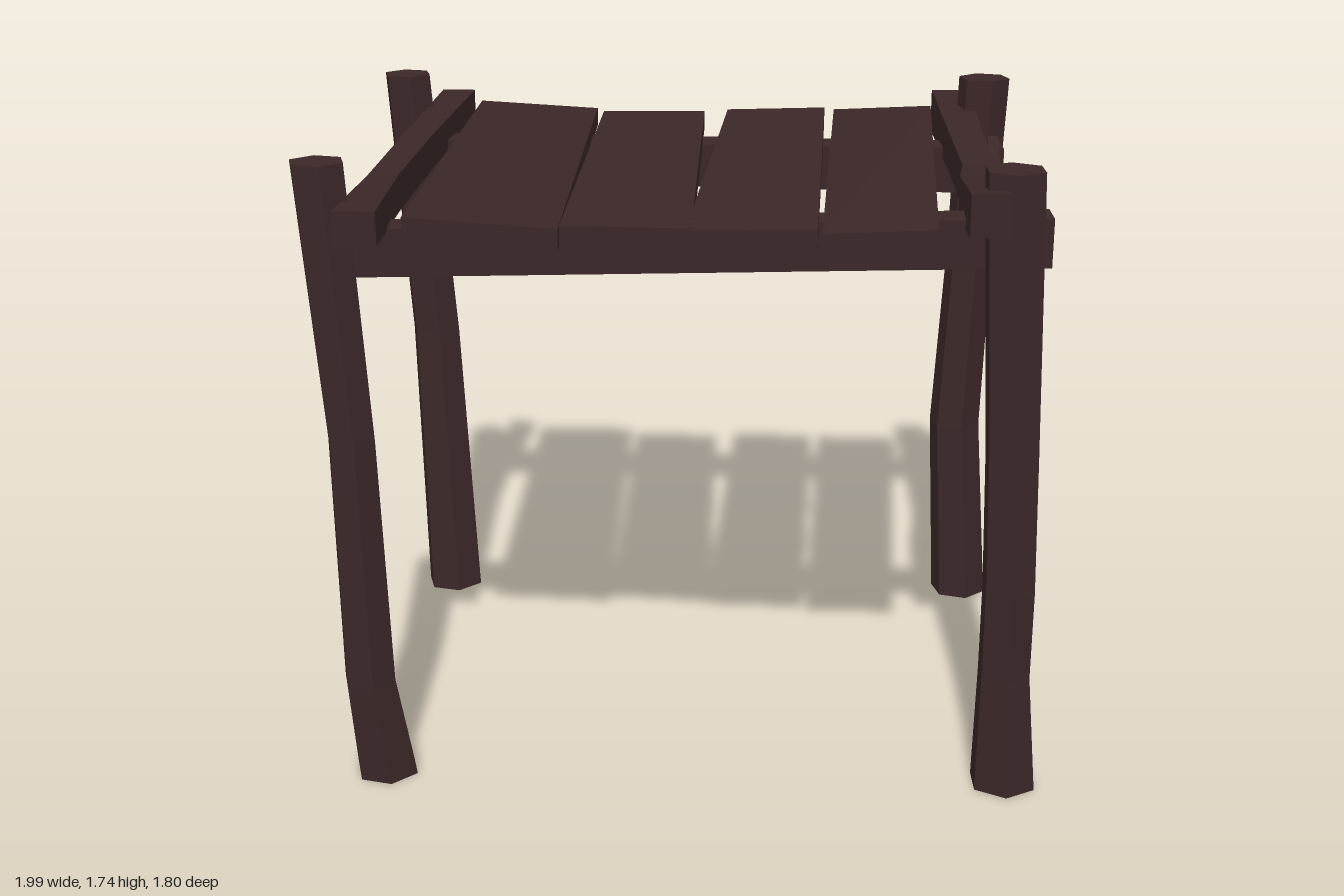
import * as THREE from 'three';

const wood = new THREE.MeshStandardMaterial({ color: 0x3b2728, flatShading: true });
wood.name = 'dark wood';

// Closed solid through a row of equal-sized rings of [x, y, z] corners
function loft(name, rings) {
  const n = rings[0].length, last = rings.length - 1, pos = [];
  const tri = (a, b, c) => pos.push(...a, ...b, ...c);
  for (let r = 0; r < last; r++) {
    for (let i = 0; i < n; i++) {
      const j = (i + 1) % n;
      tri(rings[r][j], rings[r][i], rings[r + 1][i]);
      tri(rings[r][j], rings[r + 1][i], rings[r + 1][j]);
    }
  }
  for (let k = 1; k < n - 1; k++) {
    tri(rings[0][0], rings[0][k], rings[0][k + 1]);
    tri(rings[last][0], rings[last][k + 1], rings[last][k]);
  }
  const geo = new THREE.BufferGeometry();
  geo.setAttribute('position', new THREE.Float32BufferAttribute(pos, 3));
  geo.computeVertexNormals();
  const mesh = new THREE.Mesh(geo, wood);
  mesh.name = name;
  return mesh;
}

// Crooked six-sided post; each point is [x, y, z, radius]
function post(name, turn, points) {
  return loft(name, points.map(([x, y, z, r]) =>
    Array.from({ length: 6 }, (_, i) => {
      const a = turn + i * Math.PI / 3;
      return [x + r * Math.cos(a), y, z + r * Math.sin(a)];
    })));
}

// Rail running front to back; each point is [x, y, z, width, height]
function rail(name, points) {
  return loft(name, points.map(([x, y, z, w, h]) =>
    [[-1, -1], [1, -1], [1, 1], [-1, 1]].map(([a, b]) => [x + a * w / 2, y + b * h / 2, z])));
}

// Beam running along x; each point is [x, y, z, height, depth]
function beam(name, points) {
  return loft(name, points.map(([x, y, z, h, d]) =>
    [[-1, -1], [1, -1], [1, 1], [-1, 1]].map(([a, b]) => [x, y + b * h / 2, z + a * d / 2])));
}

// Roof board; each end is [x0, z0, x1, z1, top y at x0, top y at x1]
function board(name, front, back) {
  const t = 0.055;
  return loft(name, [front, back].map(([x0, z0, x1, z1, y0, y1]) =>
    [[x0, y0 - t, z0], [x1, y1 - t, z1], [x1, y1, z1], [x0, y0, z0]]));
}

export function createModel() {
  const model = new THREE.Group();
  model.name = 'woodenShelter';

  // Posts
  model.add(
    post('frontRightPost', 0.25, [
      [-0.82, 0, 0.70, 0.09], [-0.85, 0.3, 0.73, 0.075], [-0.865, 1.0, 0.73, 0.068], [-0.925, 1.74, 0.69, 0.076]]),
    post('frontLeftPost', 0.5, [
      [0.905, 0, 0.705, 0.095], [0.89, 0.35, 0.73, 0.075], [0.89, 0.6, 0.735, 0.075],
      [0.88, 1.0, 0.73, 0.075], [0.855, 1.735, 0.695, 0.083]]),
    post('backRightPost', 0.25, [
      [-0.825, 0, -0.62, 0.093], [-0.86, 0.9, -0.65, 0.08], [-0.925, 1.74, -0.68, 0.076]]),
    post('backLeftPost', 0.3, [
      [0.90, 0, -0.62, 0.09], [0.865, 0.6, -0.635, 0.082], [0.89, 1.15, -0.65, 0.075], [0.915, 1.74, -0.67, 0.08]]),
  );

  // Cross beams under the boards
  model.add(
    beam('frontBeam', [[-0.93, 1.48, 0.575, 0.13, 0.11], [0.965, 1.535, 0.61, 0.13, 0.11]]),
    beam('backBeam', [[-0.93, 1.50, -0.545, 0.13, 0.125], [0.965, 1.48, -0.535, 0.14, 0.13]]),
  );

  // Bent side rails
  model.add(
    rail('rightRail', [
      [-0.80, 1.605, 0.865, 0.11, 0.09], [-0.83, 1.57, 0.3, 0.085, 0.1],
      [-0.83, 1.57, -0.3, 0.09, 0.1], [-0.795, 1.60, -0.9, 0.105, 0.1]]),
    rail('leftRail', [
      [0.78, 1.65, 0.855, 0.1, 0.11], [0.805, 1.575, 0.3, 0.1, 0.11], [0.83, 1.565, 0.1, 0.1, 0.11],
      [0.83, 1.57, -0.25, 0.1, 0.11], [0.83, 1.595, -0.895, 0.12, 0.13]]),
  );

  // Roof boards
  model.add(
    board('board1', [-0.69, 0.815, -0.295, 0.825, 1.625, 1.60], [-0.71, -0.84, -0.33, -0.855, 1.625, 1.60]),
    board('board2', [-0.295, 0.785, 0.04, 0.825, 1.60, 1.605], [-0.305, -0.80, 0.025, -0.785, 1.60, 1.605]),
    board('board3', [0.025, 0.835, 0.355, 0.865, 1.602, 1.615], [0.10, -0.81, 0.415, -0.785, 1.607, 1.62]),
    board('board4', [0.365, 0.895, 0.65, 0.90, 1.612, 1.625], [0.445, -0.78, 0.755, -0.745, 1.615, 1.635]),
  );

  // Diagonal brace from the left rail to the back post
  const braceEnd = (x, [y0, z0], [y1, z1]) =>
    [[x - 0.016, y0, z0], [x + 0.016, y0, z0], [x + 0.016, y1, z1], [x - 0.016, y1, z1]];
  model.add(loft('diagonalBrace', [
    braceEnd(0.897, [1.55, -0.11], [1.645, -0.20]),
    braceEnd(0.965, [1.08, -0.67], [1.21, -0.70])]));

  return model;
}
